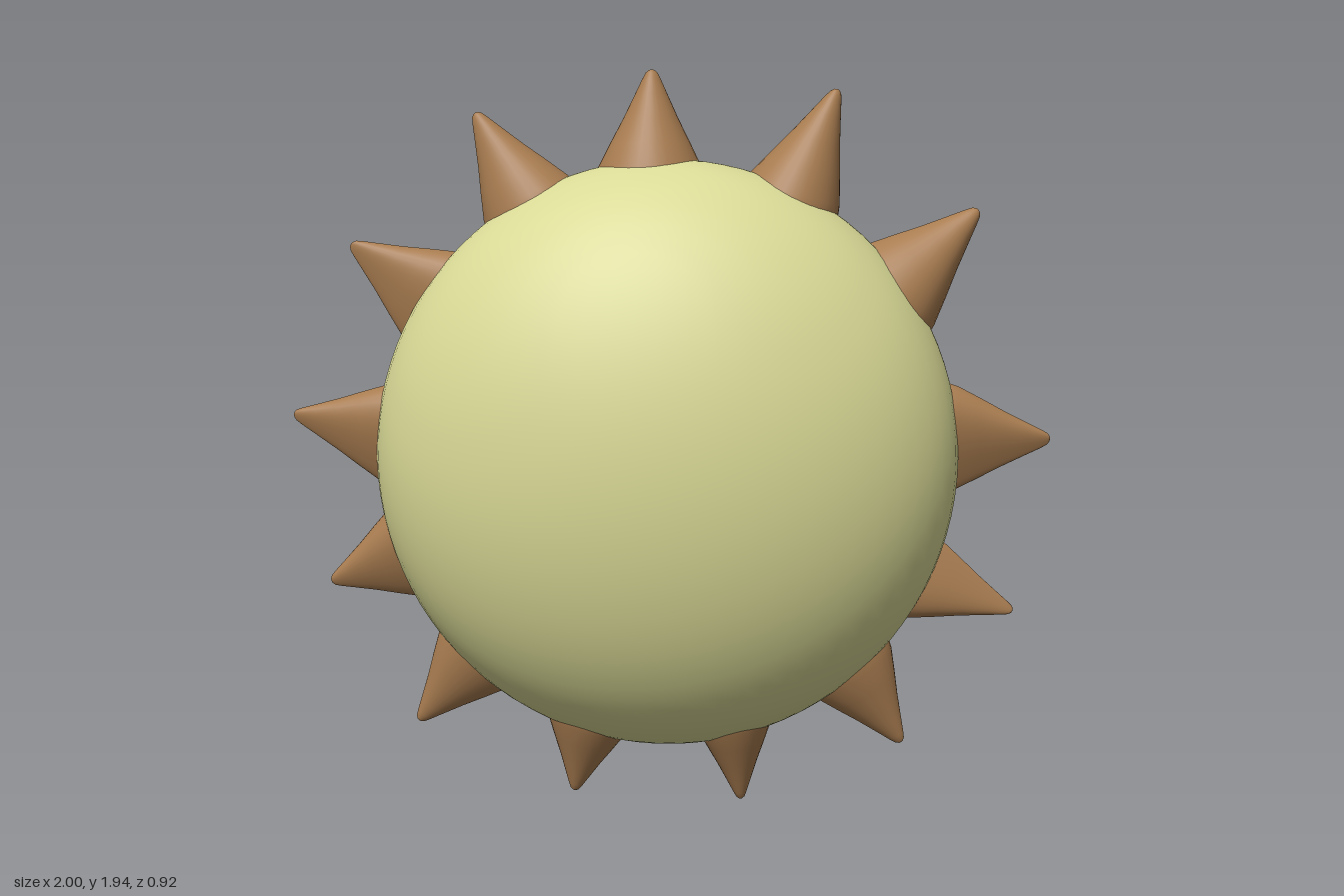
import * as THREE from 'three';
import { mergeVertices } from 'three/addons/utils/BufferGeometryUtils.js';

// Spikes, clockwise from the top: tip, first and second base edge in the xy plane,
// half depth, skew of the depth towards the second edge, z of base, z of tip
const SPIKES = [
  { tip: [-0.05, 1.94], a: [-0.19, 1.69], b: [0.08, 1.69], depth: 0.13, skew: 0, z: [-0.03, -0.03] },
  { tip: [0.43, 1.89], a: [0.19, 1.66], b: [0.44, 1.59], depth: 0.14, skew: 0, z: [-0.035, -0.03] },
  { tip: [0.80, 1.58], a: [0.51, 1.49], b: [0.69, 1.28], depth: 0.13, skew: 0.1, z: [-0.025, -0.025] },
  { tip: [1.00, 0.98], a: [0.755, 1.12], b: [0.74, 0.84], depth: 0.06, skew: -0.6, z: [-0.005, -0.015] },
  { tip: [0.91, 0.52], a: [0.72, 0.71], b: [0.63, 0.50], depth: 0.04, skew: 0.5, z: [0.005, 0.005] },
  { tip: [0.62, 0.16], a: [0.59, 0.42], b: [0.39, 0.28], depth: 0.09, skew: -0.1, z: [0.01, 0.015] },
  { tip: [0.19, 0.00], a: [0.27, 0.22], b: [0.07, 0.20], depth: 0.12, skew: 0, z: [0.02, 0.02] },
  { tip: [-0.26, 0.02], a: [-0.12, 0.18], b: [-0.33, 0.24], depth: 0.11, skew: 0, z: [0.02, 0.02] },
  { tip: [-0.68, 0.21], a: [-0.44, 0.30], b: [-0.62, 0.46], depth: 0.09, skew: 0.1, z: [0.01, 0.015] },
  { tip: [-0.91, 0.59], a: [-0.67, 0.55], b: [-0.75, 0.79], depth: 0.07, skew: 0.4, z: [0.005, 0.005] },
  { tip: [-1.00, 1.04], a: [-0.77, 0.86], b: [-0.75, 1.12], depth: 0.06, skew: 0.5, z: [0, 0] },
  { tip: [-0.84, 1.49], a: [-0.71, 1.25], b: [-0.56, 1.47], depth: 0.06, skew: 0.5, z: [-0.01, -0.015] },
  { tip: [-0.51, 1.83], a: [-0.49, 1.55], b: [-0.27, 1.67], depth: 0.11, skew: 0.1, z: [-0.02, -0.03] },
];

// Blunt cone profile: radius against height, sunk a little below the skin
const PROFILE = [
  [0, -0.3], [1.14, -0.3], [1.09, -0.15], [1, 0], [0.77, 0.25], [0.53, 0.5],
  [0.31, 0.75], [0.18, 0.9], [0.11, 0.97], [0.05, 0.995], [0, 1],
].map(([r, h]) => new THREE.Vector2(r, h));

// Map the unit cone onto one spike's base and tip
function spikeGeometry({ tip, a, b, depth, skew, z }) {
  let geo = new THREE.LatheGeometry(PROFILE, 32);
  const pos = geo.attributes.position;
  const mid = [(a[0] + b[0]) / 2, (a[1] + b[1]) / 2];
  const half = [(b[0] - a[0]) / 2, (b[1] - a[1]) / 2];
  for (let i = 0; i < pos.count; i++) {
    const u = pos.getX(i), h = pos.getY(i), w = pos.getZ(i);
    const r = Math.hypot(u, w) || 1;
    pos.setXYZ(i,
      mid[0] + (tip[0] - mid[0]) * h + half[0] * u,
      mid[1] + (tip[1] - mid[1]) * h + half[1] * u,
      z[0] + (z[1] - z[0]) * h + depth * w * (1 + skew * u / r));
  }
  geo.deleteAttribute('uv');
  geo.deleteAttribute('normal');
  geo = mergeVertices(geo, 1e-5);
  geo.computeVertexNormals();
  return geo;
}

export function createModel() {
  const model = new THREE.Group();
  model.name = 'spikedDisc';

  // Flattened round body
  const body = new THREE.Mesh(
    new THREE.SphereGeometry(1, 64, 48),
    new THREE.MeshStandardMaterial({ color: 0xd9d996 }));
  body.name = 'body';
  body.scale.set(0.767, 0.777, 0.46);
  body.position.set(-0.01, 0.934, 0);
  model.add(body);

  // Ring of spikes around the rim
  const spikes = new THREE.Group();
  spikes.name = 'spikes';
  const brown = new THREE.MeshStandardMaterial({ color: 0xa87c50 });
  SPIKES.forEach((spec, i) => {
    const spike = new THREE.Mesh(spikeGeometry(spec), brown);
    spike.name = `spike${i + 1}`;
    spikes.add(spike);
  });
  model.add(spikes);
  return model;
}
